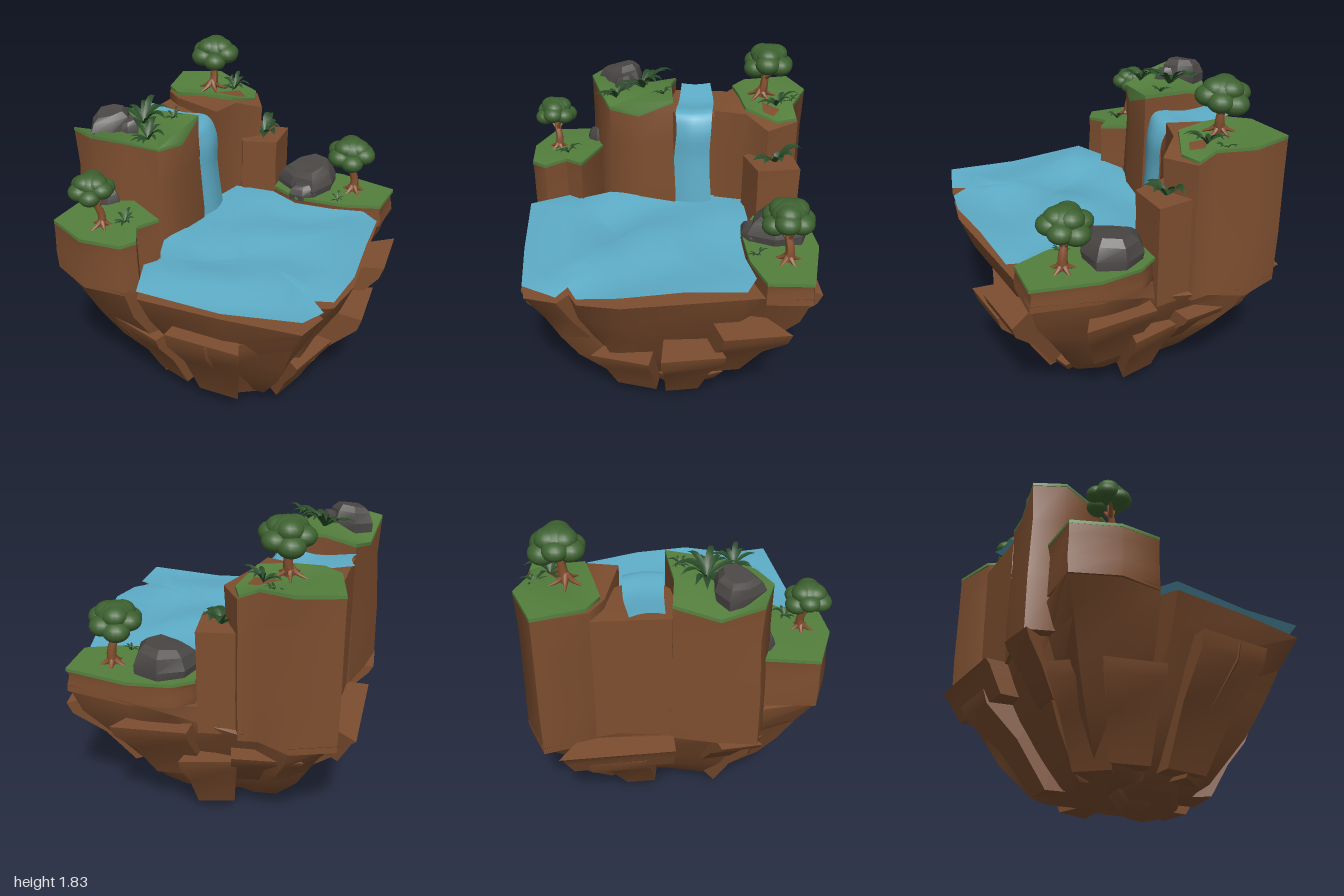
import * as THREE from 'three';
import { mergeGeometries, toCreasedNormals } from 'three/addons/utils/BufferGeometryUtils.js';

const mat = (color, side = THREE.FrontSide) => new THREE.MeshStandardMaterial({ color, side });
const ROCK = mat(0x7d4e2f), GRASS = mat(0x547f3d), STONE = mat(0x4b4846), BARK = mat(0x85502f);
const WATER = mat(0x5eadc8, THREE.DoubleSide), LEAF = mat(0x3d6130), FERN = mat(0x2a4c29, THREE.DoubleSide);

// Lofts an outline of [x, z, topY] through rows of [fraction, scale]; yAt gives the height of each point.
function loft(outline, rows, yAt, { centre, wobble = 0, crease = 1, bottom = true } = {}) {
  const flat = o => o.map(p => new THREE.Vector2(p[0], -p[1]));
  const pts = THREE.ShapeUtils.area(flat(outline)) < 0 ? [...outline].reverse() : outline;
  const n = pts.length;
  const c = centre || [0, 1].map(k => pts.reduce((s, p) => s + p[k], 0) / n);
  const at = (j, i) => {
    const p = pts[i % n], [f, s] = rows[j];
    const k = s * (j === rows.length - 1 ? 1 : 1 + wobble * Math.sin((i % n) * 2.3 + j * 0.9));
    const x = c[0] + (p[0] - c[0]) * k, z = c[1] + (p[1] - c[1]) * k;
    return [x, yAt(p[2], f, x, z), z];
  };
  const pos = [];
  for (let j = 0; j < rows.length - 1; j++) {
    for (let i = 0; i < n; i++) {
      const a = at(j, i), b = at(j, i + 1), d = at(j + 1, i + 1), e = at(j + 1, i);
      pos.push(...a, ...b, ...d, ...a, ...d, ...e);
    }
  }
  for (const [a, b, d] of THREE.ShapeUtils.triangulateShape(flat(pts), [])) {
    const t = rows.length - 1;
    pos.push(...at(t, a), ...at(t, b), ...at(t, d));
    if (bottom) pos.push(...at(0, a), ...at(0, d), ...at(0, b));
  }
  const g = new THREE.BufferGeometry();
  g.setAttribute('position', new THREE.Float32BufferAttribute(pos, 3));
  return toCreasedNormals(g, crease);
}

const from = base => (top, f) => base + (top - base) * f;

// Surface between two edge curves
function ribbon(left, right, n) {
  const [l, r] = [left, right].map(e => new THREE.CatmullRomCurve3(e.map(p => new THREE.Vector3(...p))));
  const pos = [], index = [], m = 4;
  for (let j = 0; j <= n; j++) {
    for (let i = 0; i <= m; i++) {
      const p = l.getPoint(j / n).lerp(r.getPoint(j / n), i / m);
      const bulge = 0.02 * Math.sin(Math.PI * i / m);
      pos.push(p.x + bulge * 0.6, p.y, p.z + bulge);
      if (j < n && i < m) {
        const a = j * (m + 1) + i, b = a + m + 1;
        index.push(a, b, a + 1, b, b + 1, a + 1);
      }
    }
  }
  const g = new THREE.BufferGeometry();
  g.setAttribute('position', new THREE.Float32BufferAttribute(pos, 3));
  g.setIndex(index);
  g.computeVertexNormals();
  return g;
}

// Tapered bent limb
function limb(points, r0, r1) {
  const curve = new THREE.CatmullRomCurve3(points.map(p => new THREE.Vector3(...p)));
  const g = new THREE.TubeGeometry(curve, 8, 1, 7), p = g.attributes.position;
  for (let i = 0; i < p.count; i++) {
    const t = Math.floor(i / 8) / 8, c = curve.getPointAt(t), r = r0 + (r1 - r0) * t;
    const v = new THREE.Vector3().fromBufferAttribute(p, i).sub(c).multiplyScalar(r).add(c);
    p.setXYZ(i, v.x, v.y, v.z);
  }
  g.computeVertexNormals();
  return g;
}

// Tree: trunk, forked branches, spreading roots and a crown of round clumps
function tree(name, [x, y, z], [cx, cy, cz], r) {
  const g = new THREE.Group();
  g.name = name;
  const dx = cx - x, dy = cy - y, dz = cz - z;
  const wood = [limb([[0, 0, 0], [dx * 0.2 + 0.01, dy * 0.3, dz * 0.2], [dx * 0.6, dy * 0.6, dz * 0.6], [dx, dy, dz]], r * 0.2, r * 0.1)];
  for (let i = 0; i < 5; i++) {
    const a = i * 1.257 + 0.4, c = Math.cos(a), s = Math.sin(a);
    wood.push(limb([[0, r * 0.3, 0], [c * r * 0.25, r * 0.08, s * r * 0.25], [c * r * 0.6, -0.01, s * r * 0.6]], r * 0.13, r * 0.03));
    if (i % 2 === 0) wood.push(limb([[dx * 0.5, dy * 0.5, dz * 0.5], [dx + c * r * 0.5, dy * 0.9, dz + s * r * 0.5]], r * 0.1, r * 0.06));
  }
  const crown = [];
  const clump = (px, py, pz, s) => crown.push(new THREE.SphereGeometry(r * s, 16, 12).scale(1, 0.78, 1).translate(dx + px * r, dy + py * r, dz + pz * r));
  clump(0, 0.2, 0, 0.66);
  for (let i = 0; i < 6; i++) {
    const a = i * 1.047;
    clump(Math.cos(a) * 0.54, -0.04 + 0.14 * Math.sin(i * 2.1), Math.sin(a) * 0.54, 0.47 + 0.04 * Math.sin(i * 3));
    if (i % 2) clump(Math.cos(a) * 0.28, 0.3, Math.sin(a) * 0.28, 0.48);
  }
  add(g, 'trunk', mergeGeometries(wood), BARK);
  add(g, 'foliage', mergeGeometries(crown), LEAF);
  g.position.set(x, y, z);
  return g;
}

// Rosette of arching, pointed leaves
function fern(x, y, z, size, count, width) {
  const leaves = [];
  for (let i = 0; i < count; i++) {
    const g = new THREE.PlaneGeometry(1, 1, 2, 5), p = g.attributes.position;
    const rise = 0.55 + 0.3 * Math.sin(i * 2.4), len = size * (0.85 + 0.2 * Math.sin(i * 1.7));
    for (let k = 0; k < p.count; k++) {
      const t = p.getY(k) + 0.5, w = p.getX(k) * width * size * Math.sin(Math.PI * (0.06 + 0.94 * t));
      p.setXYZ(k, w, len * rise * (2.3 * t - 1.6 * t * t) + Math.abs(w) * 0.4, len * t);
    }
    g.rotateY(i * 2.399).computeVertexNormals();
    leaves.push(g);
  }
  return mergeGeometries(leaves).translate(x, y, z);
}

function add(group, name, geometry, material) {
  const m = new THREE.Mesh(geometry, material);
  m.name = name;
  group.add(m);
}

export function createModel() {
  const island = new THREE.Group();
  island.name = 'floatingIsland';

  // Tapering underside
  const rim = [[-.16, .99, .9], [0, .92, .9], [0, .83, .9], [.09, .87, .9], [.28, .76, .9], [.73, .31, .9], [.8, .24, .9], [.99, .1, .9],
    [.83, -.21, .88], [.67, -.37, .82], [.55, -.41, .75], [.43, -.59, .72], [.35, -.66, .72], [.31, -.85, .72], [.11, -.98, .72],
    [-.07, -.77, .72], [-.39, -.55, .72], [-.79, -.37, .75], [-.75, -.29, .85], [-1, -.14, .9], [-.94, .11, .9], [-.79, .28, .9],
    [-.7, .27, .9], [-.75, .36, .9], [-.45, .7, .9]];
  add(island, 'islandBase', loft(rim, [[0, .41], [.05, .47], [.34, .66], [.56, .78], [.78, .9], [1, 1]], from(.08), { centre: [0, 0], wobble: .04 }), ROCK);

  // Hanging tips at the very bottom
  add(island, 'lowerTip', loft([[-.32, .1, .14], [-.2, .33, .14], [.3, .32, .14], [.44, .1, .14], [.3, -.02, .14], [-.1, -.03, .14]], [[0, .72], [.3, .9], [1, 1.05]], from(.035)), ROCK);
  add(island, 'lowestTip', loft([[-.18, .02, .09], [-.12, .2, .09], [.06, .18, .09], [.08, .03, .09], [-.05, -.04, .09]], [[0, .6], [1, 1.15]], from(0)), ROCK);

  // Rock slabs on the underside: outer edge x1, z1, x2, z2, top, bottom, bottom scale
  const slabs = [[-.47, -.64, 0, -1, .71, .53, .88], [-.32, -.68, -.08, -.86, .6, .09, .53], [.64, -.45, .91, -.16, .74, .3, .66],
    [.95, .21, .7, .46, .72, .25, .62], [.68, .4, .44, .64, .56, .05, .55], [-.66, .48, -.4, .8, .73, .12, .58],
    [-.82, -.36, -.66, -.5, .7, .42, .72], [0, .7, .3, .57, .42, .08, .7], [-.52, .66, -.1, .8, .72, .1, .55],
    [-.76, 0, -.64, .3, .56, .12, .66], [.2, -.84, .46, -.58, .58, .3, .7], [-.72, -.28, -.75, .02, .56, .09, .64], [.38, -.53, .62, -.34, .5, .08, .66]];
  for (const [a, b, c, d, top, low, s] of slabs) {
    const edge = [[a, b, top], [c, d, top], [c * .6, d * .6, top], [a * .6, b * .6, top]];
    add(island, 'rockSlab', loft(edge, [[0, s], [.5, .45 + s * .55], [.85, .97], [1, 1]], from(low), { centre: [0, 0] }), ROCK);
  }

  // Cliff blocks, with a thin layer of turf on top where wanted
  const cliff = (name, outline, base, turf, flare = 1) => {
    add(island, name, loft(outline, [[0, flare], [.35, flare], [.75, .98], [1, 1]], from(base), { wobble: .02 }), ROCK);
    if (turf) add(island, name + 'Grass', loft(turf, [[0, 1.005], [1, 1]], (top, f) => top - .01 + .018 * f), GRASS);
  };
  const leftLow = [[-1, -.14, 1.16], [-.94, .11, 1.16], [-.79, .28, 1.17], [-.7, .27, 1.17], [-.65, .15, 1.18], [-.53, .15, 1.19], [-.58, -.1, 1.2], [-.75, -.29, 1.18]];
  const leftHigh = [[-.14, -.2, 1.56], [-.31, -.4, 1.55], [-.39, -.55, 1.52], [-.6, -.46, 1.46], [-.78, -.37, 1.55], [-.74, -.2, 1.56], [-.6, -.1, 1.54], [-.45, -.02, 1.5], [-.29, -.08, 1.48]];
  const backHigh = [[.11, -.98, 1.51], [.31, -.85, 1.52], [.35, -.66, 1.5], [.43, -.59, 1.46], [.36, -.4, 1.45], [.2, -.42, 1.5], [.04, -.35, 1.5], [-.07, -.64, 1.5], [-.07, -.77, 1.5]];
  const backTurf = [[.11, -.98, 1.52], [.31, -.85, 1.53], [.35, -.66, 1.51], [.42, -.59, 1.47], [.36, -.49, 1.47], [.18, -.44, 1.52], [.06, -.55, 1.53], [-.06, -.66, 1.52], [-.06, -.78, 1.52]];
  const rightLow = [[.55, -.41, .985], [.67, -.37, .985], [.83, -.21, .985], [.99, .1, .985], [.8, .24, .985], [.62, .13, .985], [.42, -.08, .985], [.38, -.26, .985]];
  cliff('leftTerrace', leftLow, .88, leftLow);
  cliff('leftCliff', leftHigh, .7, leftHigh, 1.05);
  cliff('backCliff', backHigh, .68, backTurf);
  cliff('rightTerrace', rightLow, .86, rightLow);
  cliff('rightStep', [[.34, -.64, 1.27], [.56, -.43, 1.27], [.39, -.27, 1.27], [.22, -.38, 1.27]], .7);
  cliff('streamBed', [[-.07, -.77, 1.45], [.04, -.62, 1.45], [.0, -.42, 1.43], [-.16, -.29, 1.43], [-.36, -.36, 1.45], [-.39, -.55, 1.45]], .68);

  // Rippled lake and the stream that falls into it
  const shore = [[-.63, .16], [-.75, .36], [-.45, .7], [-.16, .99], [0, .92], [0, .83], [.09, .87], [.28, .76], [.5, .54], [.73, .31], [.71, .2], [.56, .08],
    [.42, -.08], [.36, -.24], [.2, -.42], [.03, -.36], [-.13, -.24], [-.3, -.08], [-.45, 0], [-.55, .16]];
  const ripple = (_, f, x, z) => .957 + .015 * Math.sin(x * 11 + z * 4) + .013 * Math.sin(z * 12 - x * 7);
  add(island, 'lake', loft(shore, [[0, 1], [0, .8], [0, .6], [0, .4], [0, .2], [0, .03]], ripple, { centre: [-.1, .3], bottom: false }), WATER);
  add(island, 'waterfall', ribbon(
    [[-.37, 1.49, -.58], [-.26, 1.46, -.41], [-.16, 1.47, -.25], [-.13, 1.38, -.22], [-.14, 1.2, -.21], [-.12, .91, -.2]],
    [[-.24, 1.49, -.69], [-.1, 1.46, -.53], [0, 1.47, -.38], [.03, 1.38, -.33], [.03, 1.2, -.32], [.06, .91, -.31]], 28), WATER);

  // Boulders: x, base, z, radius, height, turn
  for (const [x, y, z, r, h, turn] of [[-.6, 1.51, -.31, .115, .14, 0], [-.53, 1.51, -.24, .06, .1, 1], [.58, .97, -.2, .165, .17, 2], [.5, .97, -.11, .09, .1, .5], [-.69, 1.15, -.18, .07, .12, 1]]) {
    const ring = [];
    for (let i = 0; i < 7; i++) {
      const a = i * .898 + turn, k = r * (1 + .13 * Math.sin(i * 2.7 + turn));
      ring.push([x + k * Math.cos(a), z + k * Math.sin(a), y + h * (.92 + .12 * Math.cos(a))]);
    }
    add(island, 'boulder', loft(ring, [[0, .98], [.4, 1.03], [.8, .88], [1, .65]], from(y), { wobble: .05, crease: .4 }), STONE);
  }

  // Trees
  island.add(tree('backTree', [.15, 1.53, -.64], [.18, 1.73, -.65], .142));
  island.add(tree('leftTree', [-.8, 1.18, .05], [-.83, 1.39, .03], .12));
  island.add(tree('rightTree', [.77, .99, 0], [.745, 1.23, -.01], .143));

  // Ferns and broad-leaved plants: x, y, z, size, leaf count, leaf width
  for (const f of [[-.47, 1.53, -.1, .13, 11, .22], [-.42, 1.54, -.28, .17, 13, .22], [-.26, 1.55, -.26, .07, 8, .2], [.28, 1.51, -.6, .12, 9, .22], [.3, 1.5, -.7, .07, 7, .2],
    [.4, 1.26, -.43, .14, 8, .42], [-.69, 1.19, .09, .08, 8, .22], [.62, .99, .06, .06, 6, .2]]) {
    add(island, 'fern', fern(...f), FERN);
  }
  return island;
}
